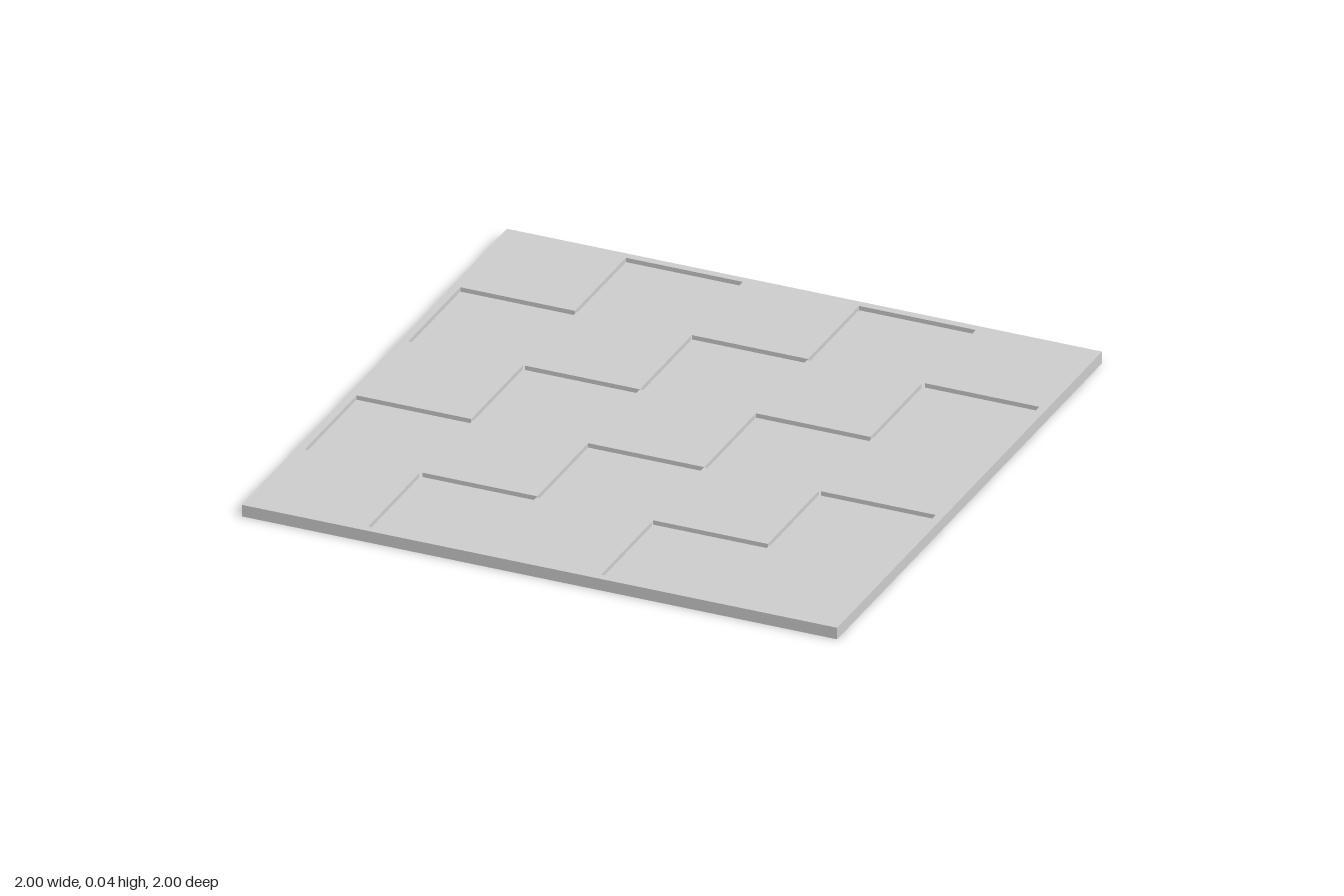
import * as THREE from 'three';

const HEIGHT = 0.04;   // top of the board
const SLAB = 0.02;     // underside of the raised squares
const IN = 0.195, MID = 0.588, LIP = 0.58, OUT = 0.973;

// start and end of each of the five columns (and rows) of sunken squares
const spans = [[-OUT, -LIP], [-MID, -IN], [-IN, IN], [IN, MID], [LIP, OUT]];

export function createModel() {
  const board = new THREE.Group();
  board.name = 'checkerBoard';
  const material = new THREE.MeshStandardMaterial({ color: 0xcccccc, flatShading: true });

  const add = (name, geometry) => {
    const mesh = new THREE.Mesh(geometry, material);
    mesh.name = name;
    board.add(mesh);
  };

  // box filling an x range, a z range and a y range
  const block = (name, [x0, x1], [z0, z1], y0, y1) => {
    const g = new THREE.BoxGeometry(x1 - x0, y1 - y0, z1 - z0);
    g.translate((x0 + x1) / 2, (y0 + y1) / 2, (z0 + z1) / 2);
    add(name, g);
  };

  const square = (s) => [[-s, -s], [s, -s], [s, s], [-s, s]].map(([x, y]) => new THREE.Vector2(x, y));

  // flat square plate with one opening
  const plate = (name, opening, y0, y1) => {
    const shape = new THREE.Shape(square(1));
    shape.holes.push(new THREE.Path(opening));
    const g = new THREE.ExtrudeGeometry(shape, { depth: y1 - y0, bevelEnabled: false });
    g.rotateX(-Math.PI / 2);
    g.translate(0, y0, 0);
    add(name, g);
  };

  // border with its corner and edge squares: one side's outline turned four times
  const side = [[-MID, -MID], [-MID, -OUT], [-IN, -OUT], [-IN, -MID], [IN, -MID], [IN, -OUT], [MID, -OUT]];
  const outline = [];
  for (let k = 0; k < 4; k++) {
    for (const [x, y] of side) {
      outline.push(new THREE.Vector2(x, y).rotateAround(new THREE.Vector2(), k * Math.PI / 2));
    }
  }
  plate('raisedBorder', outline, SLAB, HEIGHT);

  // rim that the board stands on, open underneath
  plate('bottomRim', square(0.98), 0, SLAB);

  // raised inner squares
  block('raisedCentreSquare', [-IN, IN], [-IN, IN], SLAB, HEIGHT);
  for (const x of [[-LIP, -IN], [IN, LIP]]) {
    for (const z of [[-LIP, -IN], [IN, LIP]]) block('raisedSquare', x, z, SLAB, HEIGHT);
  }

  // sunken squares, reaching a little below the raised ones
  for (let i = 0; i < 5; i++) {
    for (let j = 0; j < 5; j++) {
      if ((i + j) % 2) block('sunkenSquare', spans[i], spans[j], 0.015, 0.025);
    }
  }
  return board;
}
